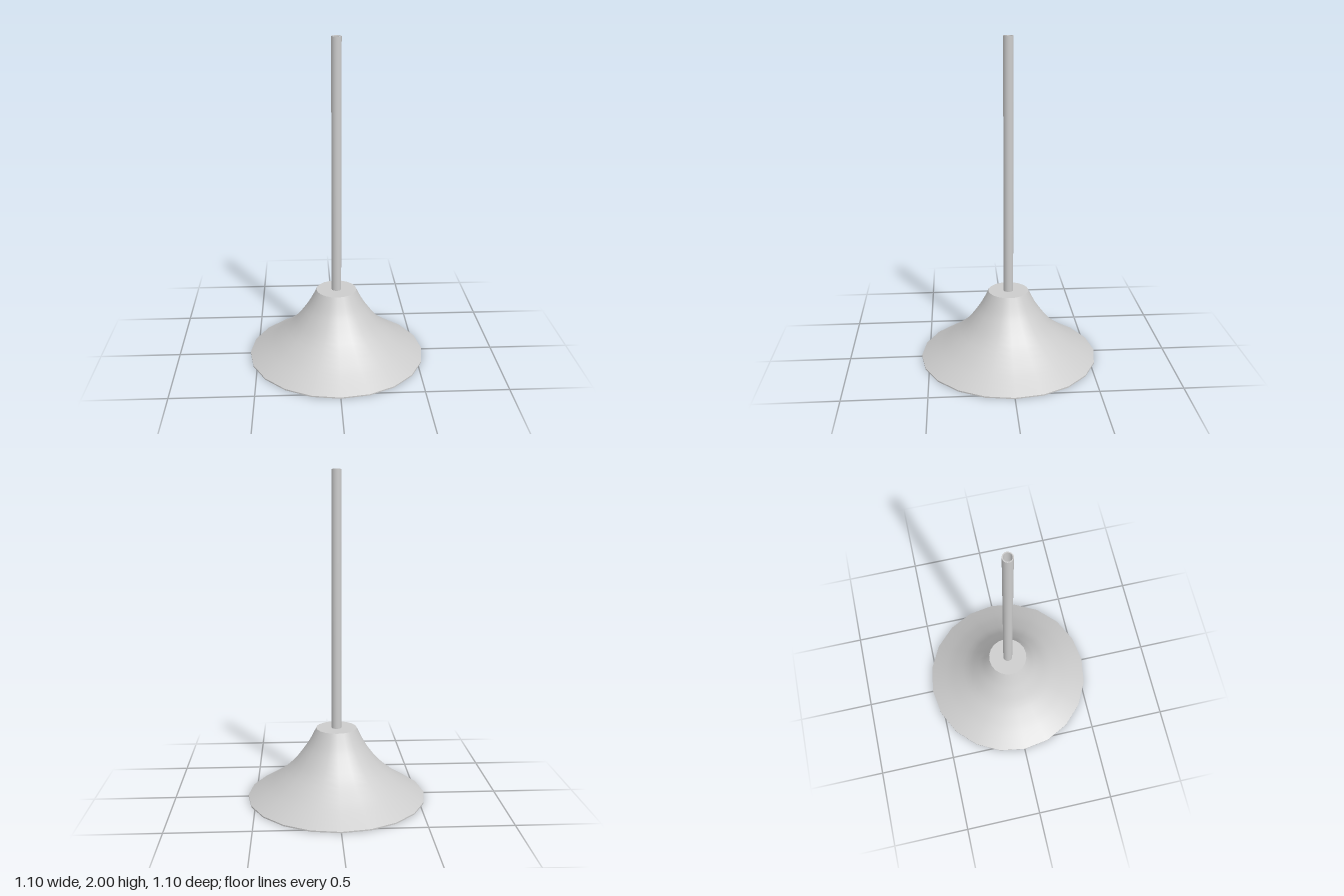
import * as THREE from 'three';
import { mergeGeometries } from 'three/addons/utils/BufferGeometryUtils.js';

const SIDES = 20;
const material = new THREE.MeshStandardMaterial({ color: 0xcccccc });

// Each run is smooth in itself; the edges between runs stay sharp.
function turned(name, runs) {
  const lathes = runs.map((run) =>
    new THREE.LatheGeometry(run.map(([r, y]) => new THREE.Vector2(r, y)), SIDES));
  const mesh = new THREE.Mesh(mergeGeometries(lathes), material);
  mesh.name = name;
  return mesh;
}

export function createModel() {
  const group = new THREE.Group();
  group.name = 'pendantLamp';

  const rim = 0.55, neck = 0.125, top = 0.44, lip = 0.008;
  const tubeOuter = 0.03, tubeInner = 0.024;

  // Flared curve of the shade, from the rim up to the neck
  const flare = new THREE.SplineCurve([
    [rim, lip], [0.465, 0.06], [0.385, 0.115], [0.28, 0.203],
    [0.2, 0.305], [0.16, 0.37], [neck, top],
  ].map(([r, y]) => new THREE.Vector2(r, y))).getPoints(18).map((p) => [p.x, p.y]);

  // Inner wall, set just below the outer one
  const inside = flare.map(([r, y]) => [r - 0.004, y - lip]).reverse();
  const [innerNeck, ceiling] = inside[0];

  // Hollow shade: outer wall, flat cap, cap hole, ceiling, inner wall, lip
  group.add(turned('shade', [
    flare,
    [[neck, top], [tubeInner, top]],
    [[tubeInner, top], [tubeInner, ceiling]],
    [[tubeInner, ceiling], [innerNeck, ceiling]],
    inside,
    [[rim - 0.004, 0], [rim, 0]],
    [[rim, 0], [rim, lip]],
  ]));

  // Hollow hanging tube, open at the top
  group.add(turned('hangingTube', [
    [[tubeOuter, top], [tubeOuter, 2]],
    [[tubeOuter, 2], [tubeInner, 2]],
    [[tubeInner, 2], [tubeInner, top]],
  ]));

  return group;
}
